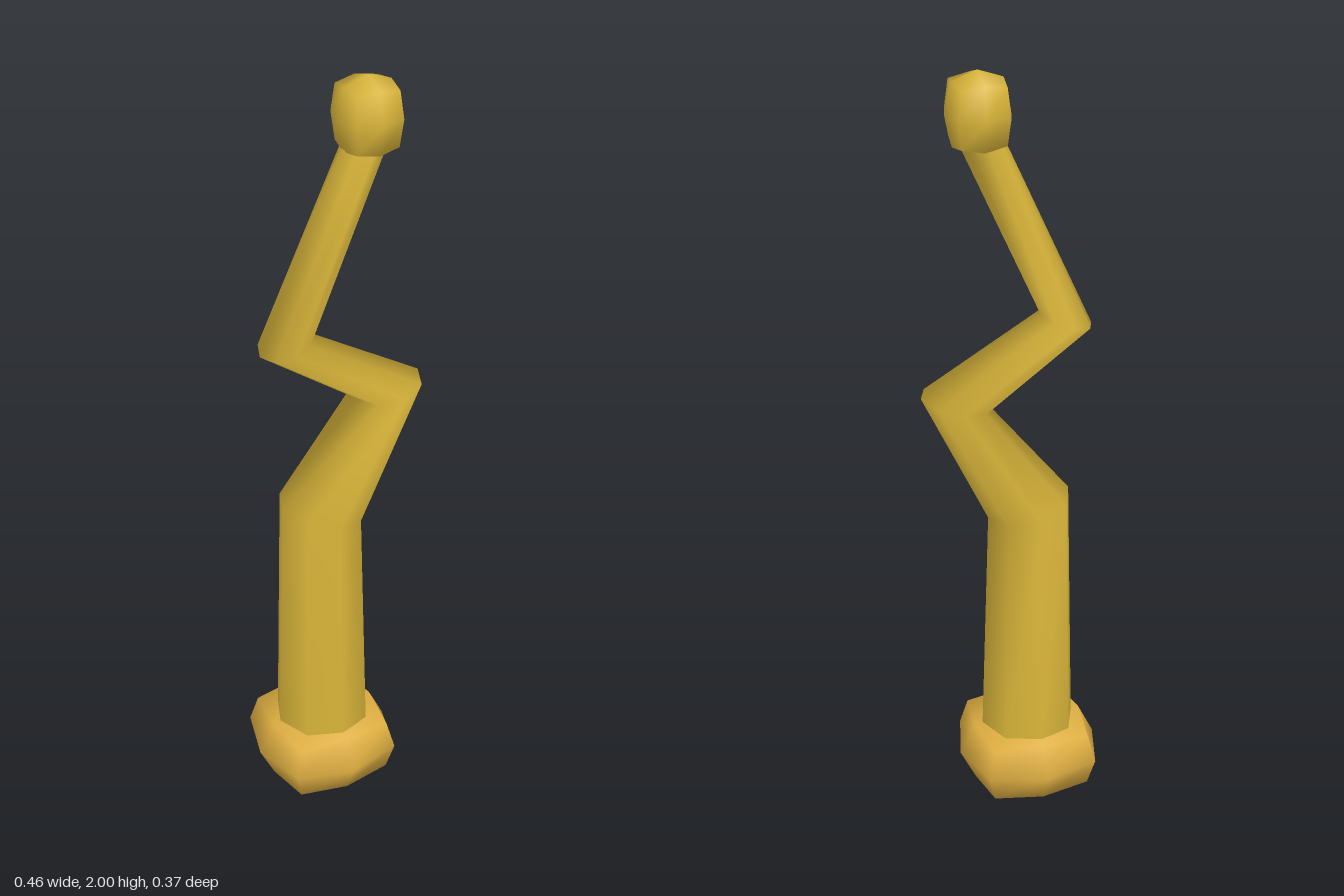
import * as THREE from 'three';
import { mergeVertices } from 'three/addons/utils/BufferGeometryUtils.js';

const shaftMat = new THREE.MeshStandardMaterial({ color: 0xd9b53a });
shaftMat.name = 'yellow gold';
const baseMat = new THREE.MeshStandardMaterial({ color: 0xdeae41 });
baseMat.name = 'warm gold';

// Rounded knob: a 2x2x2 box whose edges and corners are pulled in
function knob(name, material, center, radii) {
  let geo = new THREE.BoxGeometry(2, 2, 2, 2, 2, 2);
  geo.deleteAttribute('normal');
  geo.deleteAttribute('uv');
  geo = mergeVertices(geo);
  const pos = geo.attributes.position;
  const v = new THREE.Vector3();
  const pull = [0, 1, 0.78, 0.69];
  for (let i = 0; i < pos.count; i++) {
    v.fromBufferAttribute(pos, i);
    const axes = Math.round(Math.abs(v.x) + Math.abs(v.y) + Math.abs(v.z));
    v.multiplyScalar(pull[axes]);
    pos.setXYZ(i, v.x * radii[0], v.y * radii[1], v.z * radii[2]);
  }
  geo.computeVertexNormals();
  const mesh = new THREE.Mesh(geo, material);
  mesh.name = name;
  mesh.position.set(...center);
  return mesh;
}

// Eight-sided zigzag shaft; each ring: left x, left y, right x, right y, half depth
function zigzagShaft() {
  const rings = [
    [-0.172, 0.15, 0.08, 0.15, 0.125],
    [-0.155, 0.875, 0.06, 0.82, 0.111],
    [0.058, 1.14, 0.231, 1.18, 0.092],
    [-0.209, 1.33, -0.078, 1.365, 0.072],
    [0.03, 1.86, 0.125, 1.82, 0.053],
  ];
  const sides = 8;
  const points = [];
  const index = [];
  rings.forEach(([lx, ly, rx, ry, depth], r) => {
    for (let s = 0; s < sides; s++) {
      const a = (s / sides) * Math.PI * 2;
      const t = (1 + Math.cos(a)) / 2;
      points.push(lx + (rx - lx) * t, ly + (ry - ly) * t, depth * Math.sin(a));
      if (r === 0) continue;
      const n = (s + 1) % sides;
      const lo = (r - 1) * sides;
      const hi = r * sides;
      index.push(lo + s, hi + s, lo + n, lo + n, hi + s, hi + n);
    }
  });
  const geo = new THREE.BufferGeometry();
  geo.setAttribute('position', new THREE.Float32BufferAttribute(points, 3));
  geo.setIndex(index);
  geo.computeVertexNormals();
  const mesh = new THREE.Mesh(geo, shaftMat);
  mesh.name = 'zigzagShaft';
  return mesh;
}

export function createModel() {
  const group = new THREE.Group();
  group.name = 'crookedLever';
  group.add(
    knob('baseKnob', baseMat, [-0.046, 0.11, 0], [0.187, 0.107, 0.187]),
    zigzagShaft(),
    knob('topKnob', shaftMat, [0.08, 1.898, 0], [0.081, 0.102, 0.081]),
  );
  return group;
}
